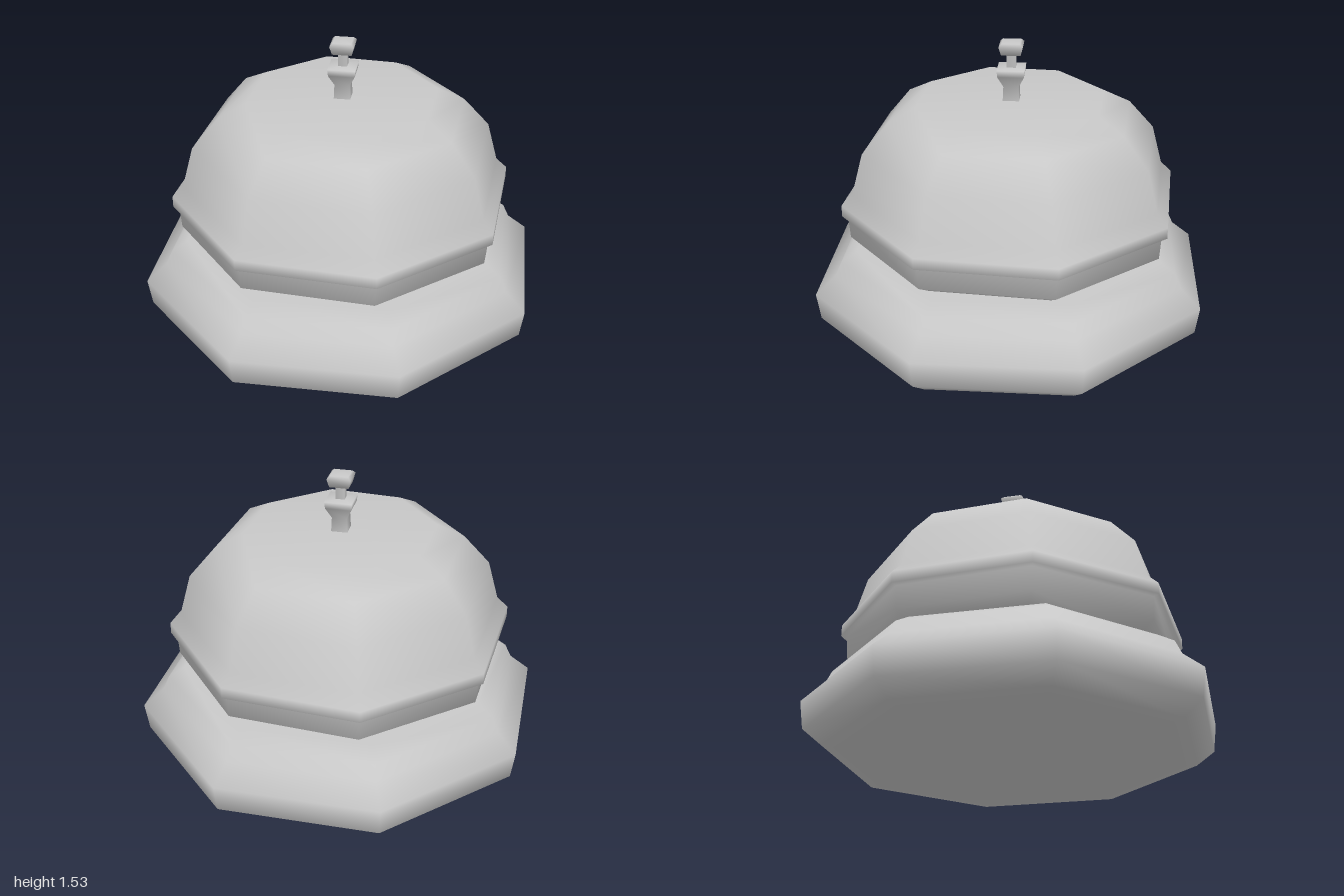
import * as THREE from 'three';

// Smooth low-poly turned part; profile runs bottom to top as [radius, y]
function turned(name, profile, sides, turnDeg, material) {
  const points = profile.map(([r, y]) => new THREE.Vector2(r, y));
  const geometry = new THREE.LatheGeometry(points, sides, THREE.MathUtils.degToRad(turnDeg));
  const mesh = new THREE.Mesh(geometry, material);
  mesh.name = name;
  return mesh;
}

export function createModel() {
  const metal = new THREE.MeshStandardMaterial({ color: 0xc8c8c8 });
  metal.name = 'grey metal';

  const group = new THREE.Group();
  group.name = 'deskBell';

  // Wide octagonal foot
  group.add(turned('base', [
    [0, 0.005], [0.68, 0.005], [0.96, 0.04], [1.06, 0.12], [1.08, 0.265],
    [0.97, 0.36], [0.935, 0.435], [0.85, 0.487], [0, 0.49],
  ], 8, 23, metal));

  // Bell with lower band, projecting rim and flat-topped dome
  group.add(turned('bell', [
    [0.78, 0.485], [0.867, 0.54], [0.875, 0.66], [0.905, 0.665], [0.905, 0.725],
    [0.845, 0.785], [0.785, 1.0], [0.645, 1.16], [0.5, 1.235], [0, 1.235],
  ], 8, 18.65, metal));

  // Four-sided plunger collar
  group.add(turned('plungerCollar', [
    [0.06, 1.232], [0.055, 1.31], [0.095, 1.37], [0.1, 1.405], [0, 1.41],
  ], 4, 0, metal));

  // Thin stem and button
  group.add(turned('plungerStem', [[0.033, 1.4], [0.033, 1.49]], 4, 0, metal));
  group.add(turned('plungerButton', [
    [0, 1.48], [0.07, 1.48], [0.086, 1.525], [0.066, 1.54], [0, 1.54],
  ], 4, 0, metal));

  return group;
}
